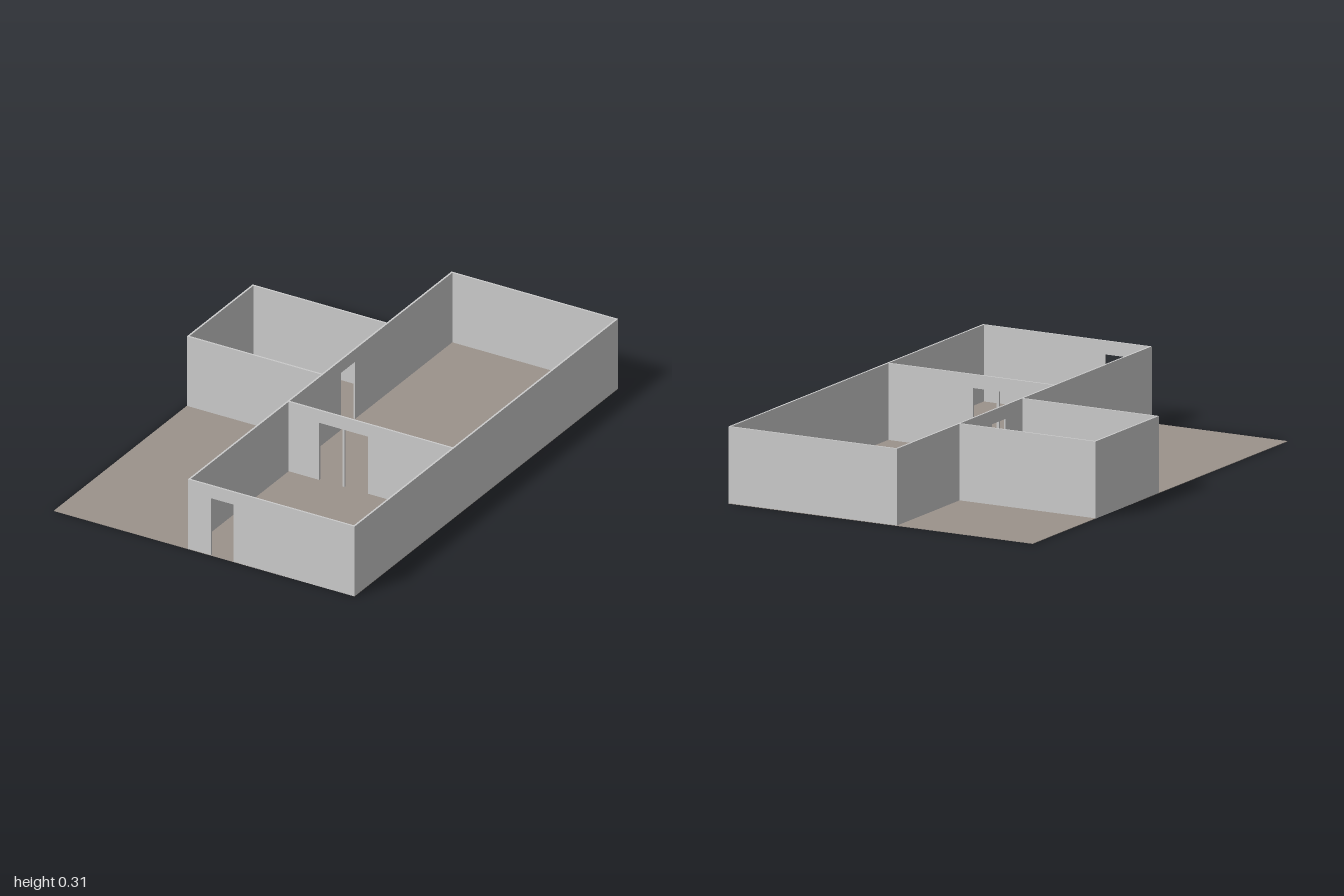
import * as THREE from 'three';

const HEIGHT = 0.31, DOOR_HEIGHT = 0.255, THICK = 0.008;

// Wall elevation from a to b, with doorways cut up from the floor.
function wallGeometry(a, b, doors) {
  const s = new THREE.Shape();
  s.moveTo(a, 0);
  for (const [d0, d1] of doors) {
    s.lineTo(d0, 0);
    s.lineTo(d0, DOOR_HEIGHT);
    s.lineTo(d1, DOOR_HEIGHT);
    s.lineTo(d1, 0);
  }
  s.lineTo(b, 0);
  s.lineTo(b, HEIGHT);
  s.lineTo(a, HEIGHT);
  s.closePath();
  const g = new THREE.ExtrudeGeometry(s, { depth: THICK, bevelEnabled: false });
  return g.translate(0, 0, -THICK / 2);
}

export function createModel() {
  const group = new THREE.Group();
  const wallGrey = new THREE.MeshStandardMaterial({ color: 0xcbcbcb });
  wallGrey.name = 'wallGrey';
  const floorTaupe = new THREE.MeshStandardMaterial({ color: 0x9b928b });
  floorTaupe.name = 'floorTaupe';

  function add(name, geometry, material) {
    const mesh = new THREE.Mesh(geometry, material);
    mesh.name = name;
    group.add(mesh);
    return mesh;
  }
  // Wall running along x at a given z
  function wallX(name, z, a, b, doors = []) {
    add(name, wallGeometry(a, b, doors), wallGrey).position.z = z;
  }
  // Wall running along z at a given x
  function wallZ(name, x, a, b, doors = []) {
    add(name, wallGeometry(a, b, doors).rotateY(-Math.PI / 2), wallGrey).position.x = x;
  }

  // Floor slab
  add('floor', new THREE.BoxGeometry(1.37, 0.002, 2).translate(0, 0.001, 0), floorTaupe);

  const h = THICK / 2;
  const left = 0.685 - h, spine = -0.07, right = -0.685 + h;
  const inL = left - h, inS = spine + h, outS = spine - h;

  // Long walls of the main block
  wallZ('leftWall', left, -1, 1);
  wallZ('spineWall', spine, -1, 1, [[-0.255, -0.147]]);

  // Cross walls of the main block; the partition has a double doorway with a middle post
  wallX('frontWall', 1 - h, inS, inL, [[0.03, 0.133]]);
  wallX('backWall', -1 + h, inS, inL);
  wallX('partitionWall', 0.245, inS, inL, [[0.073, 0.179], [0.189, 0.295]]);

  // Side room
  wallZ('sideRoomOuterWall', right, -0.505 - h, -0.013 + h);
  wallX('sideRoomFrontWall', -0.013, right + h, outS);
  wallX('sideRoomBackWall', -0.505, right + h, outS);

  return group;
}
